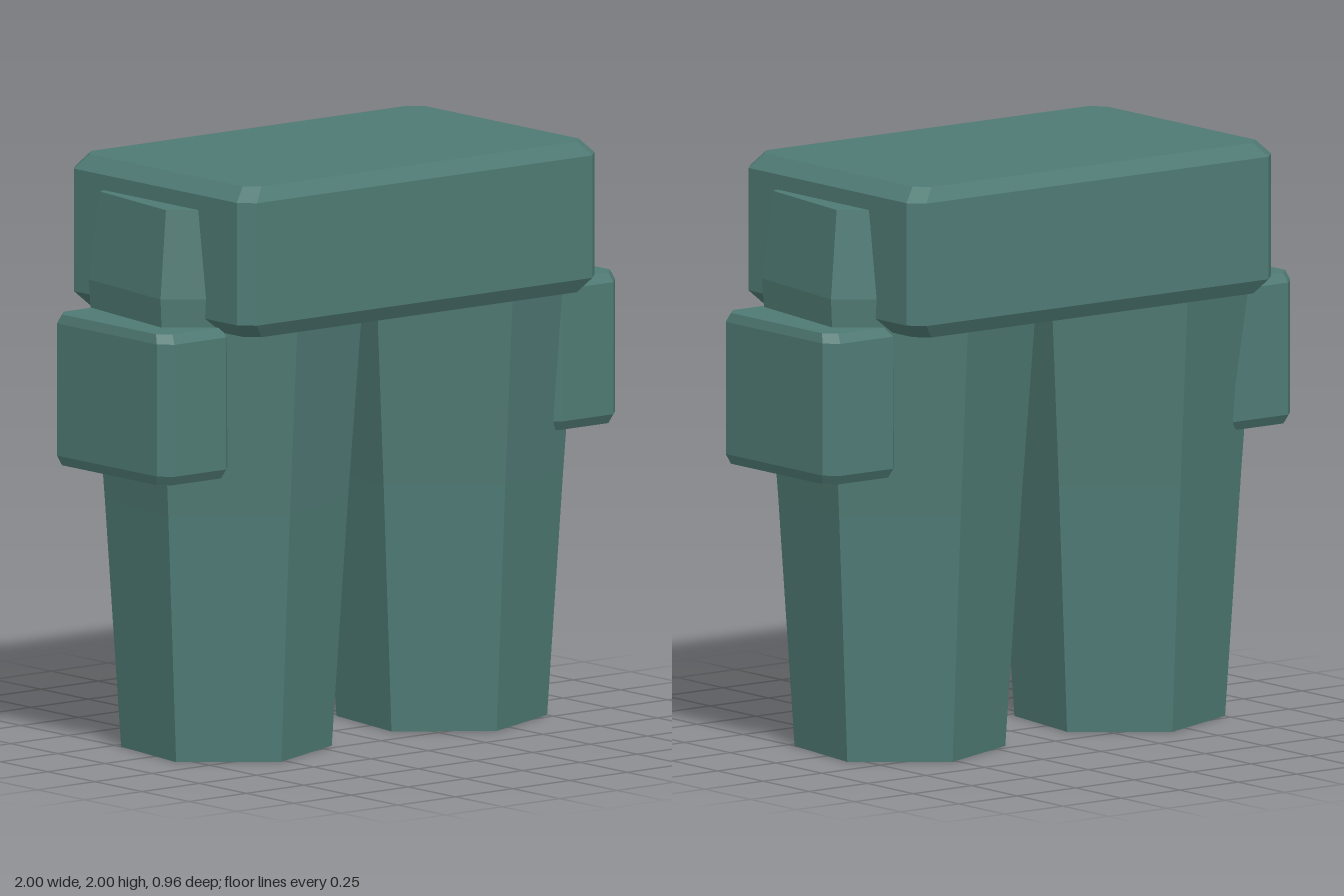
import * as THREE from 'three';

// Skin a stack of equal-length [x, y, z] loops and close both ends.
function loft(rings) {
  const n = rings[0].length;
  const index = [];
  for (let r = 0; r < rings.length - 1; r++) {
    for (let i = 0; i < n; i++) {
      const a = r * n + i;
      const b = r * n + (i + 1) % n;
      index.push(a, a + n, b, b, a + n, b + n);
    }
  }
  const top = (rings.length - 1) * n;
  for (let i = 1; i < n - 1; i++) {
    index.push(0, i, i + 1);
    index.push(top, top + i + 1, top + i);
  }
  const geometry = new THREE.BufferGeometry();
  geometry.setAttribute('position', new THREE.Float32BufferAttribute(rings.flat(2), 3));
  geometry.setIndex(index);
  const flat = geometry.toNonIndexed();
  flat.computeVertexNormals();
  return flat;
}

// Block with cut corners whose ends shrink slightly, spanning y0 to y1.
function chamferedBlock(halfX, halfZ, y0, y1, cut, bevel) {
  const x = halfX - cut;
  const z = halfZ - cut;
  const outline = [
    [halfX, -z], [halfX, z], [x, halfZ], [-x, halfZ],
    [-halfX, z], [-halfX, -z], [-x, -halfZ], [x, -halfZ],
  ];
  const levels = [[y0, 0.94], [y0 + bevel, 1], [y1 - bevel, 1], [y1, 0.94]];
  return loft(levels.map(([y, s]) => outline.map(([px, pz]) => [px * s, y, pz * s])));
}

// Slightly twisted hexagonal leg that swells towards the hip.
function legGeometry() {
  const levels = [[0, 0.355], [0.85, 0.41], [1.6, 0.465], [1.9, 0.427]];
  const turn = THREE.MathUtils.degToRad(38);
  return loft(levels.map(([y, radius]) => Array.from({ length: 6 }, (_, i) => {
    const angle = turn + i * Math.PI / 3;
    return [Math.cos(angle) * radius, y, Math.sin(angle) * radius];
  })));
}

export function createModel() {
  const model = new THREE.Group();
  model.name = 'trousers';
  const cloth = new THREE.MeshStandardMaterial({ color: 0x4f7a74, flatShading: true });
  cloth.name = 'teal cloth';

  const add = (name, geometry, x = 0, z = 0) => {
    const mesh = new THREE.Mesh(geometry, cloth);
    mesh.name = name;
    mesh.position.set(x, 0, z);
    model.add(mesh);
  };

  // Hip block
  add('hips', chamferedBlock(0.78, 0.48, 1.485, 2, 0.048, 0.048));

  // Legs and side pockets
  const leg = legGeometry();
  const pocket = chamferedBlock(0.155, 0.307, 0.987, 1.503, 0.042, 0.032);
  for (const [side, sign] of [['left', 1], ['right', -1]]) {
    add(side + 'Leg', leg, sign * 0.47);
    add(side + 'Pocket', pocket, sign * 0.845, 0.01);
  }
  return model;
}
